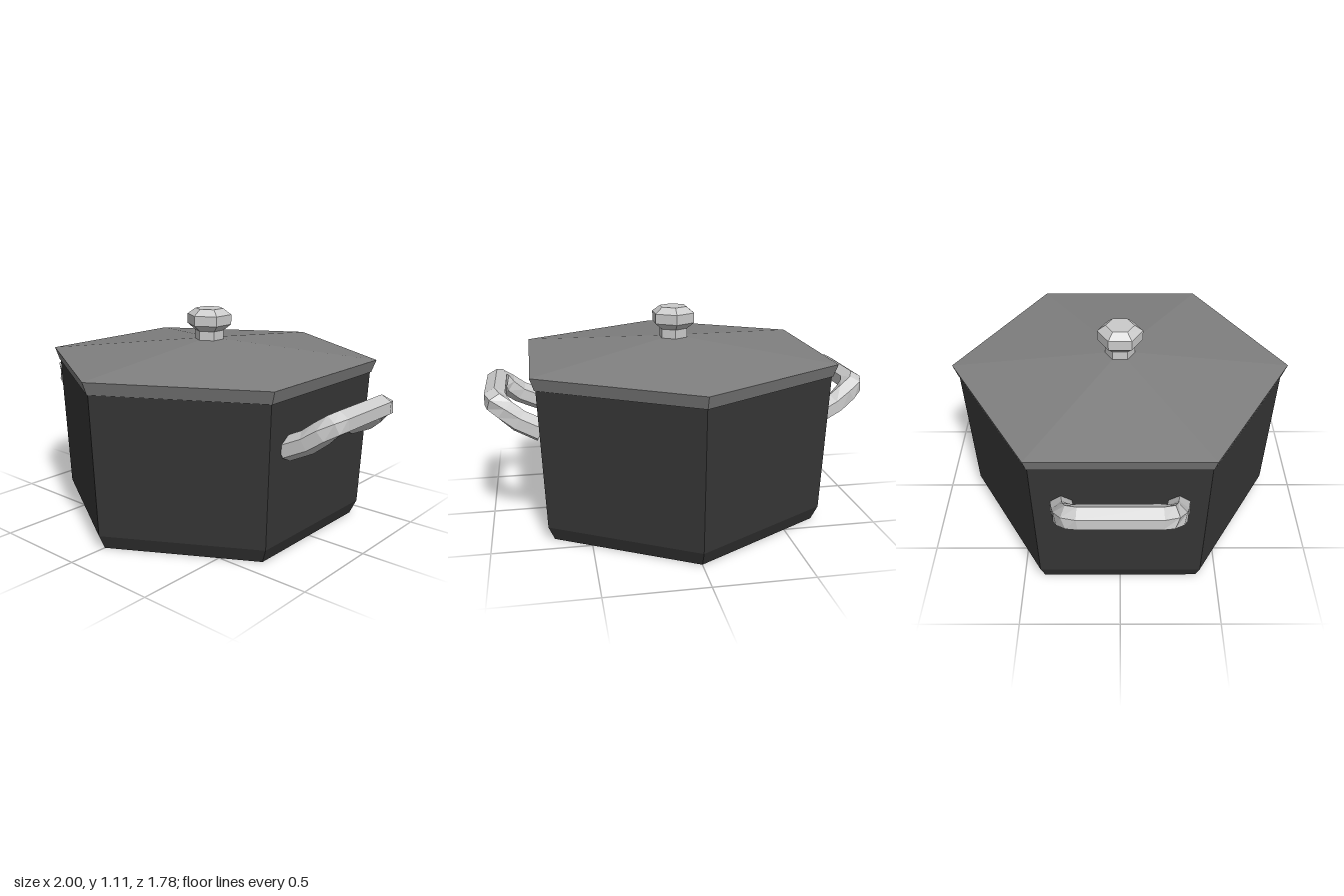
import * as THREE from 'three';

const SIDES = 6;

function material(color) {
  return new THREE.MeshStandardMaterial({ color, flatShading: true, side: THREE.DoubleSide });
}

// Six-sided turned part from [radius, height] pairs, bottom to top
function turned(name, profile, mat) {
  const points = profile.map(([r, y]) => new THREE.Vector2(r, y));
  const mesh = new THREE.Mesh(new THREE.LatheGeometry(points, SIDES), mat);
  mesh.name = name;
  return mesh;
}

// Hexagonal bar swept along a path, with one ridge kept uppermost
function sweep(path, radius) {
  const up = new THREE.Vector3(0, 1, 0);
  const positions = [];
  const index = [];
  path.forEach((p, i) => {
    const before = path[Math.max(i - 1, 0)];
    const after = path[Math.min(i + 1, path.length - 1)];
    const dirIn = p.clone().sub(before).normalize();
    const dirOut = after.clone().sub(p).normalize();
    const t = dirIn.add(dirOut).normalize();
    const s = up.clone().cross(t).normalize();
    const u = t.clone().cross(s);
    for (let j = 0; j < SIDES; j++) {
      const a = ((j + 0.5) / SIDES) * Math.PI * 2;
      const v = p.clone()
        .addScaledVector(s, radius * Math.cos(a))
        .addScaledVector(u, radius * Math.sin(a));
      positions.push(v.x, v.y, v.z);
      if (i < path.length - 1) {
        const k = (j + 1) % SIDES;
        const a0 = i * SIDES + j, b0 = i * SIDES + k;
        index.push(a0, b0, a0 + SIDES, b0, b0 + SIDES, a0 + SIDES);
      }
    }
  });
  // End caps
  const last = (path.length - 1) * SIDES;
  for (let j = 1; j < SIDES - 1; j++) {
    index.push(0, j + 1, j, last, last + j, last + j + 1);
  }
  const geometry = new THREE.BufferGeometry();
  geometry.setAttribute('position', new THREE.Float32BufferAttribute(positions, 3));
  geometry.setIndex(index);
  geometry.computeVertexNormals();
  return geometry;
}

export function createModel() {
  const model = new THREE.Group();
  model.name = 'cookingPot';
  const potMat = material(0x363636);
  const lidMat = material(0x808080);
  const metalMat = material(0xcccccc);

  // Tapered body with a chamfered foot
  model.add(turned('potBody', [[0, 0], [0.79, 0], [0.825, 0.075], [0.858, 0.81]], potMat));

  // Shallow lid with a slanted rim
  model.add(turned('lid', [[0.845, 0.8], [0.864, 0.8], [0.888, 0.865], [0.07, 0.948], [0, 0.948]], lidMat));

  // Lid knob on a short stem
  model.add(turned('lidKnob', [
    [0.078, 0.935], [0.078, 0.995], [0.119, 1.028], [0.119, 1.08], [0.075, 1.112], [0, 1.112],
  ], metalMat));

  // Side handles: half of the loop, mirrored in z
  const half = [
    [0.72, 0.55, 0.284], [0.83, 0.603, 0.266], [0.895, 0.655, 0.25],
    [0.935, 0.69, 0.225], [0.947, 0.7, 0.185],
  ].map((p) => new THREE.Vector3(...p));
  const mirrored = half.map((p) => new THREE.Vector3(p.x, p.y, -p.z)).reverse();
  const handleGeometry = sweep([...half, ...mirrored], 0.06);
  ['leftHandle', 'rightHandle'].forEach((name, i) => {
    const handle = new THREE.Mesh(handleGeometry, metalMat);
    handle.name = name;
    handle.rotation.y = i * Math.PI;
    model.add(handle);
  });

  return model;
}
